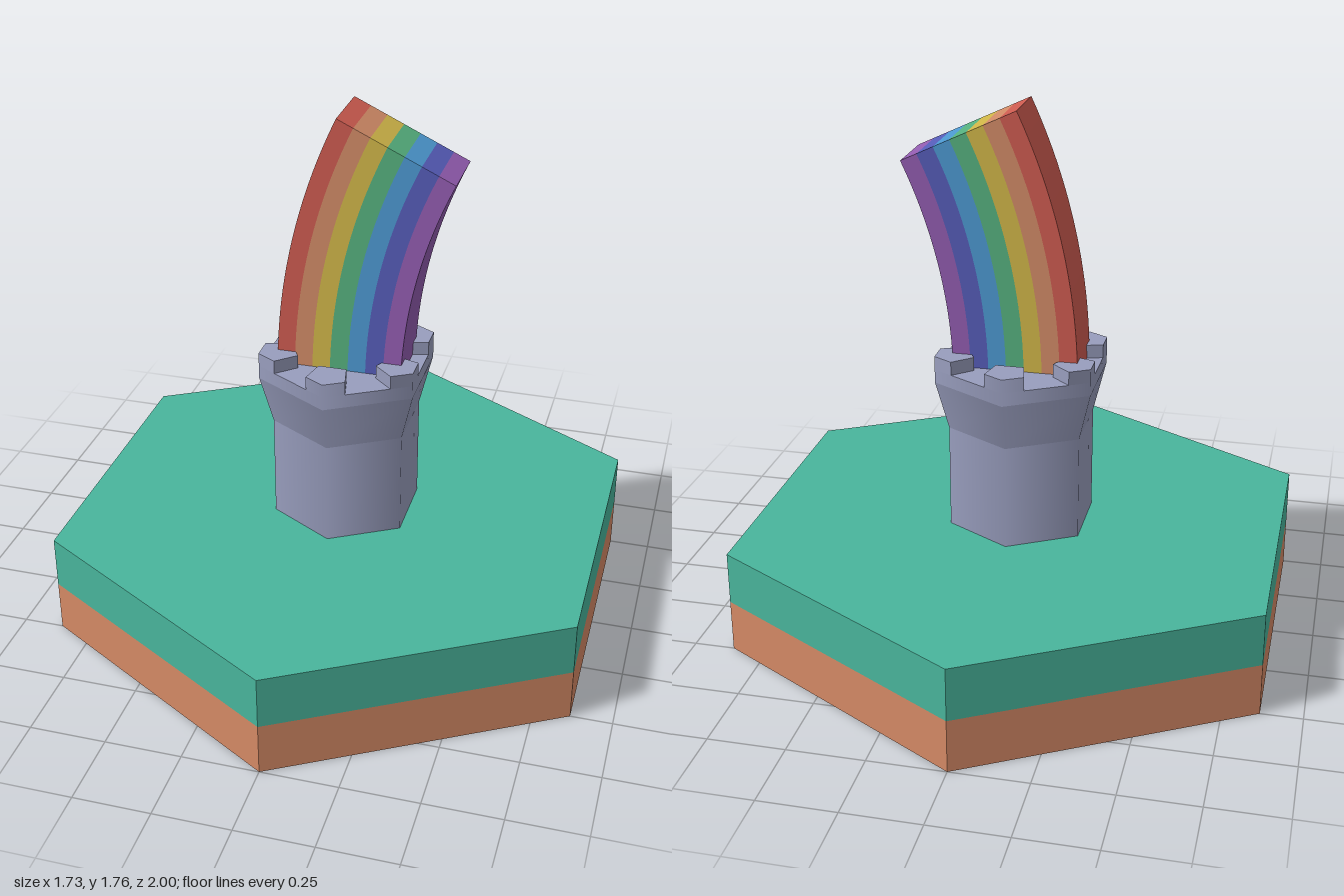
import * as THREE from 'three';
import { toCreasedNormals } from 'three/addons/utils/BufferGeometryUtils.js';

const mat = (name, color) => {
  const m = new THREE.MeshStandardMaterial({ color });
  m.name = name;
  return m;
};

export function createModel() {
  const model = new THREE.Group();
  model.name = 'rainbowTower';
  const earth = mat('earth', 0xd68a66);
  const grass = mat('grass', 0x49b59c);
  const stone = mat('stone', 0x989dbd);

  const add = (name, geometry, material, parent = model) => {
    const mesh = new THREE.Mesh(geometry, material);
    mesh.name = name;
    parent.add(mesh);
    return mesh;
  };

  // Six-sided solid between two heights, with a corner facing front
  const hex = (name, rTop, rBottom, y0, y1, material, flat, open) => {
    let g = new THREE.CylinderGeometry(rTop, rBottom, y1 - y0, 6, 1, open);
    if (flat) g = toCreasedNormals(g, 0.3);
    g.translate(0, (y0 + y1) / 2, 0);
    return add(name, g, material);
  };

  // Hexagonal ground tile
  hex('earthLayer', 1, 1, 0, 0.175, earth, true);
  hex('grassLayer', 1, 1, 0.175, 0.35, grass, true);

  // Tower with smoothed sides
  const R = 0.295;
  hex('towerShaft', 0.25, 0.25, 0.35, 0.7, stone, false, true);
  hex('towerFlare', R, 0.25, 0.7, 0.865, stone, false, true);
  hex('towerParapet', R, R, 0.865, 0.91, stone, false);

  // Merlons wrapped round the six corners
  const battlements = new THREE.Group();
  battlements.name = 'battlements';
  model.add(battlements);
  const merlonShape = new THREE.Shape([
    [0, R], [-0.064, R * 0.875], [-0.046, 0.176], [0.046, 0.176], [0.064, R * 0.875],
  ].map(([x, y]) => new THREE.Vector2(x, y)));
  const merlon = new THREE.ExtrudeGeometry(merlonShape, { depth: 0.045, bevelEnabled: false });
  merlon.rotateX(-Math.PI / 2).rotateY(Math.PI).translate(0, 0.91, 0);
  // Outer faces share the round shading of the parapet
  const p = merlon.attributes.position, n = merlon.attributes.normal;
  for (let i = 0; i < p.count; i++) {
    const r = Math.hypot(p.getX(i), p.getZ(i));
    const rx = p.getX(i) / r, rz = p.getZ(i) / r;
    if (n.getX(i) * rx + n.getZ(i) * rz > 0.7) n.setXYZ(i, rx, 0, rz);
  }
  for (let i = 0; i < 6; i++) {
    add('merlon', merlon, stone, battlements).rotation.y = i * Math.PI / 3;
  }

  // Rainbow: seven concentric bands leaning to the model's left
  const rainbow = new THREE.Group();
  rainbow.name = 'rainbow';
  model.add(rainbow);
  const outer = 2.08, width = 0.41 / 7, sweep = 0.441, depth = 0.21;
  const bands = [
    ['red', 0xcd5b50], ['orange', 0xd08a66], ['yellow', 0xcfb548], ['green', 0x55b07e],
    ['blue', 0x4c98d0], ['indigo', 0x555cb8], ['violet', 0x925cb0],
  ];
  bands.forEach(([name, color], i) => {
    const r1 = outer - i * width, r0 = r1 - width;
    const shape = new THREE.Shape();
    shape.absarc(0, 0, r1, Math.PI, Math.PI - sweep, true);
    shape.absarc(0, 0, r0, Math.PI - sweep, Math.PI, false);
    const g = new THREE.ExtrudeGeometry(shape, { depth, bevelEnabled: false, curveSegments: 16 });
    g.translate(1.875, 0.87, -depth / 2);
    add(name + 'Band', toCreasedNormals(g, 0.3), mat(name, color), rainbow);
  });

  return model;
}
